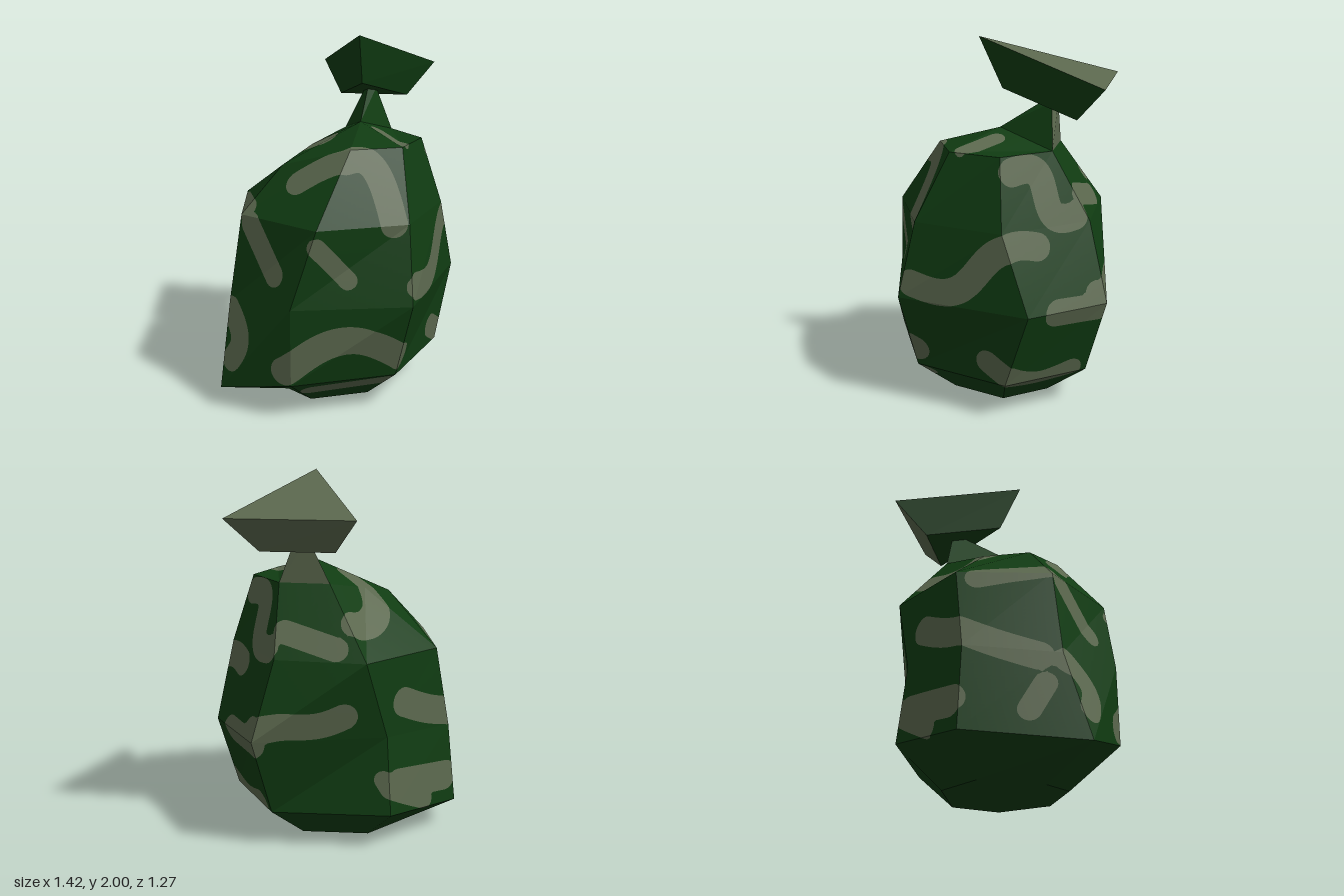
import * as THREE from 'three';

const green = new THREE.MeshStandardMaterial({ color: 0x103c12, flatShading: true });
green.name = 'darkGreen';
const grey = new THREE.MeshStandardMaterial({ color: 0x5b684e, flatShading: true });
grey.name = 'greyGreen';

// Seven-cornered ring (x, z pairs counter-clockwise from the front left) that sags at the left corner
function ring(y, sag, outline) {
  const drop = [0, 0, 0, 0, 0, sag / 2, sag];
  return outline.map(([x, z], i) => new THREE.Vector3(x, y - drop[i], z));
}

const foot = ring(0.21, 0.095, [[-0.37, 0.53], [0.21, 0.53], [0.585, 0.12], [0.49, -0.36], [-0.11, -0.585], [-0.57, -0.365], [-0.71, 0.26]]);
const belly = ring(0.64, 0.06, [[-0.37, 0.53], [0.265, 0.635], [0.71, 0.03], [0.605, -0.43], [-0.1, -0.54], [-0.53, -0.34], [-0.63, 0.15]]);
const chest = ring(1.06, 0, [[-0.23, 0.535], [0.27, 0.535], [0.59, 0.14], [0.465, -0.37], [0.03, -0.585], [-0.44, -0.36], [-0.55, 0.13]]);
const shoulder = ring(1.43, 0.12, [[0, 0.345], [0.285, 0.345], [0.47, 0.12], [0.39, -0.18], [0.145, -0.3], [-0.1, -0.13], [-0.31, 0.08]]);
// The base is the foot ring drawn in and flattened
const base = foot.map((p) => new THREE.Vector3(Math.max(p.x * 0.57, -0.31), 0, p.z * 0.57));
const peak = new THREE.Vector3(0.14, 1.52, 0.04);

// Painted strokes, each [radius, start u, start v, end u, end v, bow, wave], by the direction they are painted from
const STROKES = [
  { azimuth: 0, elevation: 0, strokes: [
    [0.075, -0.26, 1.25, 0.19, 1.05, 0.25],
    [0.05, -0.23, 0.97, -0.06, 0.78],
    [0.065, -0.51, 1.02, -0.42, 0.78],
    [0.07, -0.63, 0.54, -0.65, 0.28, 0.04],
    [0.08, -0.4, 0.29, 0.25, 0.31, 0.16],
    [0.06, -0.24, 0.13, 0.2, 0.16],
  ] },
  { azimuth: 90, elevation: 0, strokes: [
    [0.075, -0.57, 0.73, 0.07, 0.97, 0, -0.08],
    [0.07, -0.2, 0.33, 0.27, 0.24, -0.08],
    [0.08, 0.15, 0.63, 0.4, 0.62],
    [0.075, -0.06, 1.35, 0.3, 1.1, 0, 0.07],
  ] },
  { azimuth: 145, elevation: -24, strokes: [
    [0.075, -0.27, 0.9, 0.2, 0.91, 0, 0.02],
    [0.065, -0.14, 1.29, 0.15, 1.22],
    [0.05, 0.38, 0.54, 0.56, 0.27],
  ] },
  { azimuth: 215, elevation: 24, strokes: [
    [0.065, 0.24, 0.74, 0.5, 0.92],
    [0.08, -0.1, 0.53, 0.53, 0.38, -0.05],
    [0.085, -0.18, 0.12, 0.2, 0.05],
    [0.06, 0.5, 0.09, 0.55, 0.25],
  ] },
  { azimuth: 0, elevation: 90, strokes: [
    [0.085, 0.04, 0.42, -0.05, -0.01, -0.13],
    [0.045, 0.23, -0.08, 0.3, -0.28],
  ] },
];

function geometryFrom(points) {
  const geometry = new THREE.BufferGeometry().setFromPoints(points);
  geometry.computeVertexNormals();
  return geometry;
}

// Wall of quads between two closed rings, split into triangles
function wall(low, high) {
  return low.flatMap((a, i) => {
    const j = (i + 1) % low.length;
    return [[a, low[j], high[j]], [a, high[j], high[i]]];
  });
}

function bodyTriangles() {
  const tris = [...wall(base, foot), ...wall(foot, belly), ...wall(belly, chest), ...wall(chest, shoulder)];
  for (let i = 1; i < 6; i++) tris.push([base[0], base[i + 1], base[i]]);
  const [A, B, C, D, E, F, G] = shoulder;
  tris.push([A, B, peak], [B, D, peak], [B, C, D], [E, F, peak], [F, G, peak], [G, A, peak]);
  return tris;
}

// Lay the strokes on the surface as closely spaced dots
function strokeDots(mesh) {
  const dots = [];
  const ray = new THREE.Raycaster();
  for (const { azimuth, elevation, strokes } of STROKES) {
    const a = THREE.MathUtils.degToRad(azimuth), e = THREE.MathUtils.degToRad(elevation);
    const outward = new THREE.Vector3(Math.sin(a) * Math.cos(e), Math.sin(e), Math.cos(a) * Math.cos(e));
    const right = new THREE.Vector3(Math.cos(a), 0, -Math.sin(a));
    const up = new THREE.Vector3().crossVectors(outward, right);
    for (const [radius, u0, v0, u1, v1, bow = 0, wave = 0] of strokes) {
      const length = Math.hypot(u1 - u0, v1 - v0);
      for (let t = 0; t <= 1; t += 1 / 48) {
        const offset = (bow * Math.sin(Math.PI * t) + wave * Math.sin(2 * Math.PI * t)) / length;
        const u = u0 + (u1 - u0) * t - (v1 - v0) * offset;
        const v = v0 + (v1 - v0) * t + (u1 - u0) * offset;
        const origin = outward.clone().multiplyScalar(5).addScaledVector(right, u).addScaledVector(up, v);
        ray.set(origin, outward.clone().negate());
        const hit = ray.intersectObject(mesh)[0];
        if (hit) dots.push({ point: hit.point, radius });
      }
    }
  }
  return dots;
}

// Keep the part of a triangle where sign * value is positive
function clip(corners, values, sign, out) {
  const poly = [];
  for (let i = 0; i < 3; i++) {
    const j = (i + 1) % 3, a = values[i] * sign, b = values[j] * sign;
    if (a > 0) poly.push(corners[i]);
    if (a > 0 !== b > 0) poly.push(corners[i].clone().lerp(corners[j], a / (a - b)));
  }
  for (let i = 1; i + 1 < poly.length; i++) out.push(poly[0], poly[i], poly[i + 1]);
}

// Cut the faceted sack into plain and painted surfaces along the stroke outlines
function paintedBody() {
  const tris = bodyTriangles();
  const dots = strokeDots(new THREE.Mesh(geometryFrom(tris.flat()), green));
  const field = (p) => dots.reduce((m, d) => Math.min(m, p.distanceTo(d.point) - d.radius), 9) || 1e-6;
  const plain = [], painted = [];
  for (const [a, b, c] of tris) {
    const n = Math.ceil(Math.max(a.distanceTo(b), b.distanceTo(c), c.distanceTo(a)) / 0.03);
    const grid = [];
    for (let i = 0; i <= n; i++) {
      grid.push([]);
      for (let j = 0; j <= n - i; j++) {
        const p = a.clone().multiplyScalar((n - i - j) / n).addScaledVector(b, i / n).addScaledVector(c, j / n);
        grid[i].push({ p, f: field(p) });
      }
    }
    const cut = (...v) => {
      clip(v.map((q) => q.p), v.map((q) => q.f), 1, plain);
      clip(v.map((q) => q.p), v.map((q) => q.f), -1, painted);
    };
    for (let i = 0; i < n; i++) {
      for (let j = 0; j < n - i; j++) {
        cut(grid[i][j], grid[i + 1][j], grid[i][j + 1]);
        if (j < n - i - 1) cut(grid[i + 1][j], grid[i + 1][j + 1], grid[i][j + 1]);
      }
    }
  }
  return [plain, painted];
}

export function createModel() {
  const model = new THREE.Group();
  model.name = 'tiedSack';
  const add = (name, points, material) => {
    const mesh = new THREE.Mesh(geometryFrom(points), material);
    mesh.name = name;
    model.add(mesh);
  };

  // Sack body
  const [plain, painted] = paintedBody();
  add('sackBody', plain, green);
  add('sackPatches', painted, grey);

  // Pinched neck: the back face is grey
  const vec = (list) => list.map((p) => new THREE.Vector3(...p));
  const neck = wall([peak, shoulder[3], shoulder[4]], vec([[0.24, 1.67, -0.17], [0.3, 1.67, -0.2], [0.25, 1.67, -0.25]]));
  add('neck', [...neck.slice(0, 2), ...neck.slice(4)].flat(), green);
  add('neckBack', neck.slice(2, 4).flat(), grey);

  // Flared tuft above the neck: top and back are grey
  const top = vec([[0.1, 2, 0.145], [0.705, 1.79, -0.345], [0.1, 1.79, -0.635]]);
  const bottom = vec([[0.15, 1.73, 0.03], [0.51, 1.61, -0.27], [0.15, 1.61, -0.43]]);
  const tuft = wall(bottom, top);
  add('tuftSides', [...tuft.slice(0, 2), ...tuft.slice(4), [bottom[2], bottom[1], bottom[0]]].flat(), green);
  add('tuftTop', [top, ...tuft.slice(2, 4)].flat(), grey);
  return model;
}
